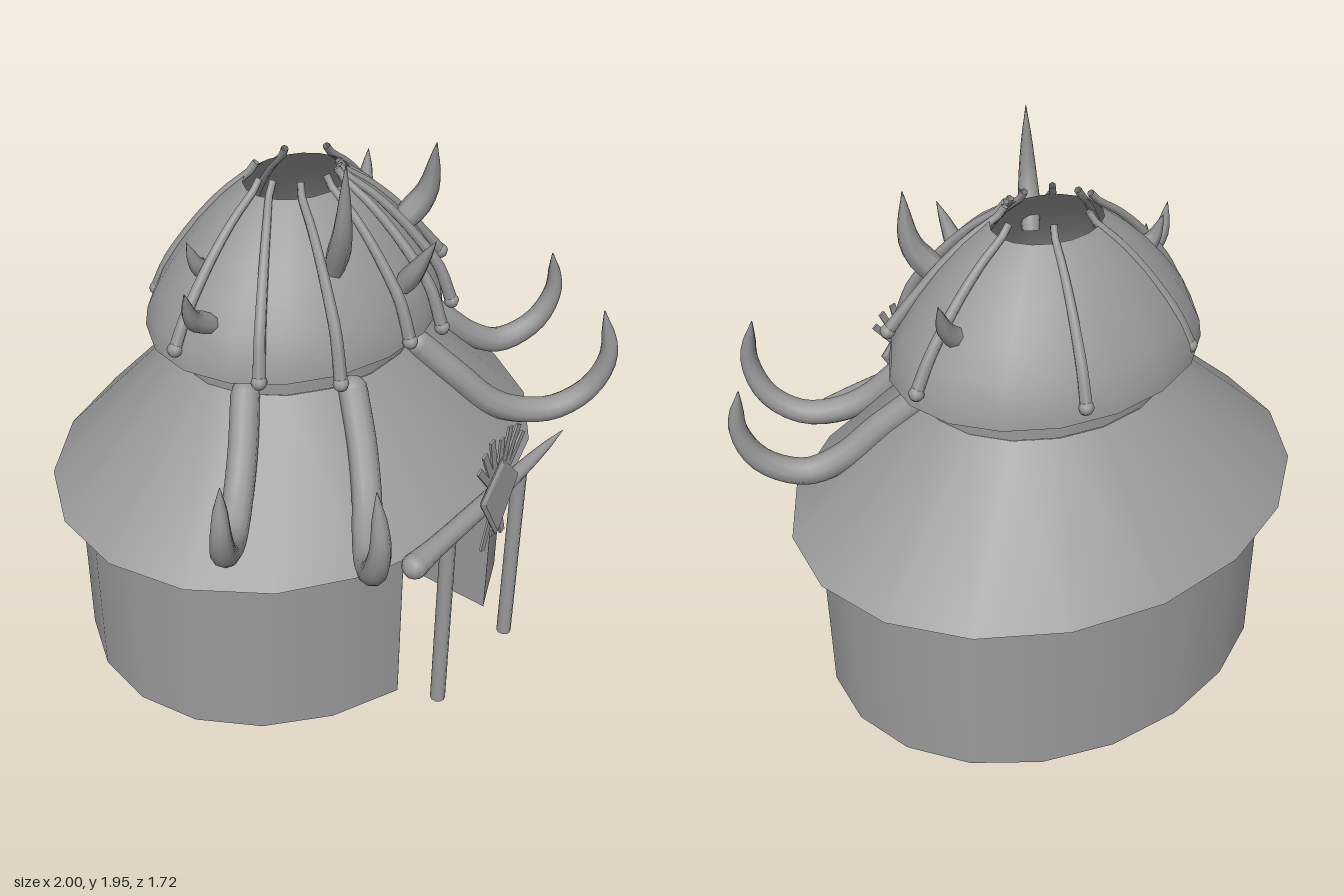
import * as THREE from 'three';

const material = new THREE.MeshStandardMaterial({ color: 0x999999, side: THREE.DoubleSide });
const V = (x, y, z) => new THREE.Vector3(x, y, z);
const CZ = -0.052; // z of the hut's centre
const SIDES = 18;

export function createModel() {
  const group = new THREE.Group();

  const add = (name, geometry, x = 0, y = 0, z = 0) => {
    const mesh = new THREE.Mesh(geometry, material);
    mesh.name = name;
    mesh.position.set(x, y, z);
    group.add(mesh);
    return mesh;
  };

  // Oval surface of revolution from [radius, y] points
  const oval = (name, profile, depthRatio) => {
    const geometry = new THREE.LatheGeometry(
      profile.map(([r, y]) => new THREE.Vector2(r, y)), SIDES, Math.PI / SIDES);
    geometry.scale(1, 1, depthRatio);
    return add(name, geometry, 0, 0, CZ);
  };

  // Tube whose radius follows a list of evenly spaced values
  const taperedTube = (name, points, radii, segments = 16, sides = 8) => {
    const curve = new THREE.CatmullRomCurve3(points);
    const geometry = new THREE.TubeGeometry(curve, segments, 1, sides);
    const pos = geometry.attributes.position;
    const v = V(0, 0, 0);
    for (let i = 0; i <= segments; i++) {
      const centre = curve.getPointAt(i / segments);
      const f = (i / segments) * (radii.length - 1);
      const k = Math.min(Math.floor(f), radii.length - 2);
      const radius = THREE.MathUtils.lerp(radii[k], radii[k + 1], f - k);
      for (let j = 0; j <= sides; j++) {
        const n = i * (sides + 1) + j;
        v.fromBufferAttribute(pos, n).sub(centre).multiplyScalar(radius).add(centre);
        pos.setXYZ(n, v.x, v.y, v.z);
      }
    }
    return add(name, geometry);
  };

  // Round wall, open at the doorway and rising up to the roof's underside
  const doorAngle = THREE.MathUtils.degToRad(18.7);
  const wall = new THREE.CylinderGeometry(
    0.89, 0.89, 0.76, SIDES, 1, true, doorAngle, Math.PI * 2 - 2 * doorAngle);
  wall.scale(1, 1, 0.73 / 0.89);
  add('wall', wall, 0, 0.38, CZ);

  // Square entrance recess
  const doorZ = 0.64, doorW = 0.572, doorD = 0.52, doorH = 0.63;
  add('entranceBack', new THREE.PlaneGeometry(doorW, doorH), 0, doorH / 2, doorZ - doorD);
  add('entranceCeiling', new THREE.PlaneGeometry(doorW, doorD), 0, doorH, doorZ - doorD / 2)
    .rotation.x = Math.PI / 2;
  add('wallAboveDoor', new THREE.PlaneGeometry(doorW, 0.13), 0, 0.695, doorZ);
  for (const side of [-1, 1]) {
    add('entranceSide', new THREE.PlaneGeometry(doorD, doorH), side * doorW / 2, doorH / 2, doorZ - doorD / 2)
      .rotation.y = -side * Math.PI / 2;
  }

  // Sloping roof, closed neck and open-topped dome
  oval('lowerRoof', [[0.985, 0.69], [0.48, 1.14]], 0.825);
  oval('neck', [[0.48, 1.14], [0.48, 1.32]], 0.82);
  oval('neckTop', [[0.48, 1.32], [0, 1.32]], 0.82);
  const dome = [[0.588, 1.245], [0.578, 1.31], [0.537, 1.39], [0.472, 1.48],
    [0.39, 1.575], [0.3, 1.66], [0.205, 1.73]];
  oval('dome', dome, 0.815);

  // Short slanted rafters under the dome
  for (let i = 0; i < 20; i++) {
    const a = (i / 20) * Math.PI * 2;
    const at = (r, y) => V(Math.sin(a) * r, y, Math.cos(a) * r * 0.815 + CZ);
    const low = at(0.478, 1.195), high = at(0.525, 1.26);
    const mid = low.clone().lerp(high, 0.5);
    const rafter = add('rafter', new THREE.BoxGeometry(0.022, 0.015, low.distanceTo(high)),
      mid.x, mid.y, mid.z);
    rafter.lookAt(high);
  }

  // Bone ribs over the dome: bottom x, y, z, then top x, z
  const ribs = [
    [-0.31, 1.3, -0.44, -0.09, -0.18], [0.21, 1.3, -0.49, 0.08, -0.18],
    [0.585, 1.31, -0.09, 0.2, -0.07], [-0.585, 1.31, -0.09, -0.2, -0.07],
    [-0.505, 1.26, 0.2, -0.18, -0.02], [-0.335, 1.25, 0.4, -0.13, 0.07],
    [-0.01, 1.27, 0.44, -0.015, 0.1], [0.15, 1.26, 0.46, 0.06, 0.09],
    [0.31, 1.27, 0.39, 0.09, 0.08], [0.47, 1.35, 0.23, 0.12, 0.05],
  ];
  for (const [bx, by, bz, tx, tz] of ribs) {
    const path = [V(bx, by, bz)];
    for (const [r, y] of dome) {
      if (y < by + 0.07) continue;
      const s = (0.588 - r) / 0.383;
      path.push(V(THREE.MathUtils.lerp(bx, tx, s), y + 0.015, THREE.MathUtils.lerp(bz, tz, s)));
    }
    path.push(V(tx * 0.88, 1.775, (tz - CZ) * 0.88 + CZ));
    taperedTube('rib', path, [0.023, 0.018, 0.013], 14, 6);
    add('ribKnob', new THREE.SphereGeometry(0.027, 8, 6), bx, by, bz);
  }

  // Spikes on the dome: base, bend, tip, base radius
  const spikes = [
    [V(-0.165, 1.52, 0.23), V(-0.21, 1.7, 0.3), V(-0.22, 1.95, 0.32), 0.041],
    [V(0.27, 1.51, 0.18), V(0.345, 1.63, 0.24), V(0.35, 1.82, 0.27), 0.052],
    [V(0.06, 1.42, 0.35), V(0.055, 1.49, 0.4), V(0.07, 1.62, 0.47), 0.04],
    [V(0.42, 1.46, -0.12), V(0.48, 1.52, -0.125), V(0.52, 1.63, -0.14), 0.038],
    [V(-0.5, 1.4, 0), V(-0.59, 1.46, 0), V(-0.63, 1.57, 0.01), 0.04],
    [V(-0.38, 1.5, -0.11), V(-0.43, 1.55, -0.125), V(-0.455, 1.63, -0.14), 0.035],
  ];
  for (const [base, bend, tip, r] of spikes) {
    taperedTube('spike', [base, bend, tip], [r * 0.8, r, r * 0.75, r * 0.45, 0.001], 10, 7);
  }

  // Two pairs of upturned tusks resting on the roof
  const tusks = {
    innerTusk: [[0.19, 1.13, 0.34], [0.28, 1.0, 0.45], [0.37, 0.88, 0.54], [0.46, 0.825, 0.61],
      [0.57, 0.815, 0.7], [0.66, 0.89, 0.785], [0.695, 1.03, 0.83], [0.68, 1.21, 0.8]],
    outerTusk: [[0.45, 1.14, 0.09], [0.57, 1.02, 0.18], [0.68, 0.91, 0.25], [0.79, 0.86, 0.32],
      [0.91, 0.92, 0.4], [0.965, 1.05, 0.44], [0.95, 1.21, 0.43]],
  };
  for (const [name, points] of Object.entries(tusks)) {
    for (const side of [-1, 1]) {
      const path = points.map(([x, y, z]) => V(side * x, y, z));
      taperedTube(name, path,
        [0.05, 0.05, 0.05, 0.05, 0.05, 0.05, 0.049, 0.047, 0.044, 0.04, 0.034, 0.025, 0.002], 26, 10);
      add(name + 'Root', new THREE.SphereGeometry(0.05, 10, 8), path[0].x, path[0].y, path[0].z);
    }
  }

  // Entrance posts and the long bone lying across them
  for (const x of [-0.22, 0.225]) {
    add('post', new THREE.CylinderGeometry(0.027, 0.027, 0.74, 10), x, 0.37, 0.77);
  }
  taperedTube('lintelBone', [V(-0.42, 0.742, 0.77), V(0, 0.745, 0.77), V(0.52, 0.765, 0.77)],
    [0.044, 0.036, 0.034, 0.034, 0.033, 0.031, 0.028, 0.023, 0.015, 0.002], 18, 10);
  add('lintelKnob', new THREE.SphereGeometry(0.044, 10, 8), -0.415, 0.742, 0.77);

  // Kite-shaped plaque with bevelled edges
  const kite = new THREE.Shape([[0, 0.12], [-0.1, 0.01], [0, -0.165], [0.1, 0.01]]
    .map(([x, y]) => new THREE.Vector2(x, y)));
  add('plaque', new THREE.ExtrudeGeometry(kite, {
    depth: 0.004, bevelThickness: 0.008, bevelSize: 0.014, bevelSegments: 1,
  }), 0.01, 0.81, 0.813);

  // Fan of flat sticks behind the plaque: angle from upright, reach
  const fan = [[-38, 0.2], [-25, 0.23], [-13, 0.25], [2, 0.22], [13, 0.25], [26, 0.25], [39, 0.23],
    [163, 0.21], [180, 0.18], [197, 0.22]];
  for (const [degrees, reach] of fan) {
    const a = THREE.MathUtils.degToRad(degrees);
    const stick = add('fanStick', new THREE.BoxGeometry(0.026, reach, 0.008),
      0.01 + Math.sin(a) * reach / 2, 0.8 + Math.cos(a) * reach / 2, 0.805);
    stick.rotation.z = -a;
  }

  return group;
}
